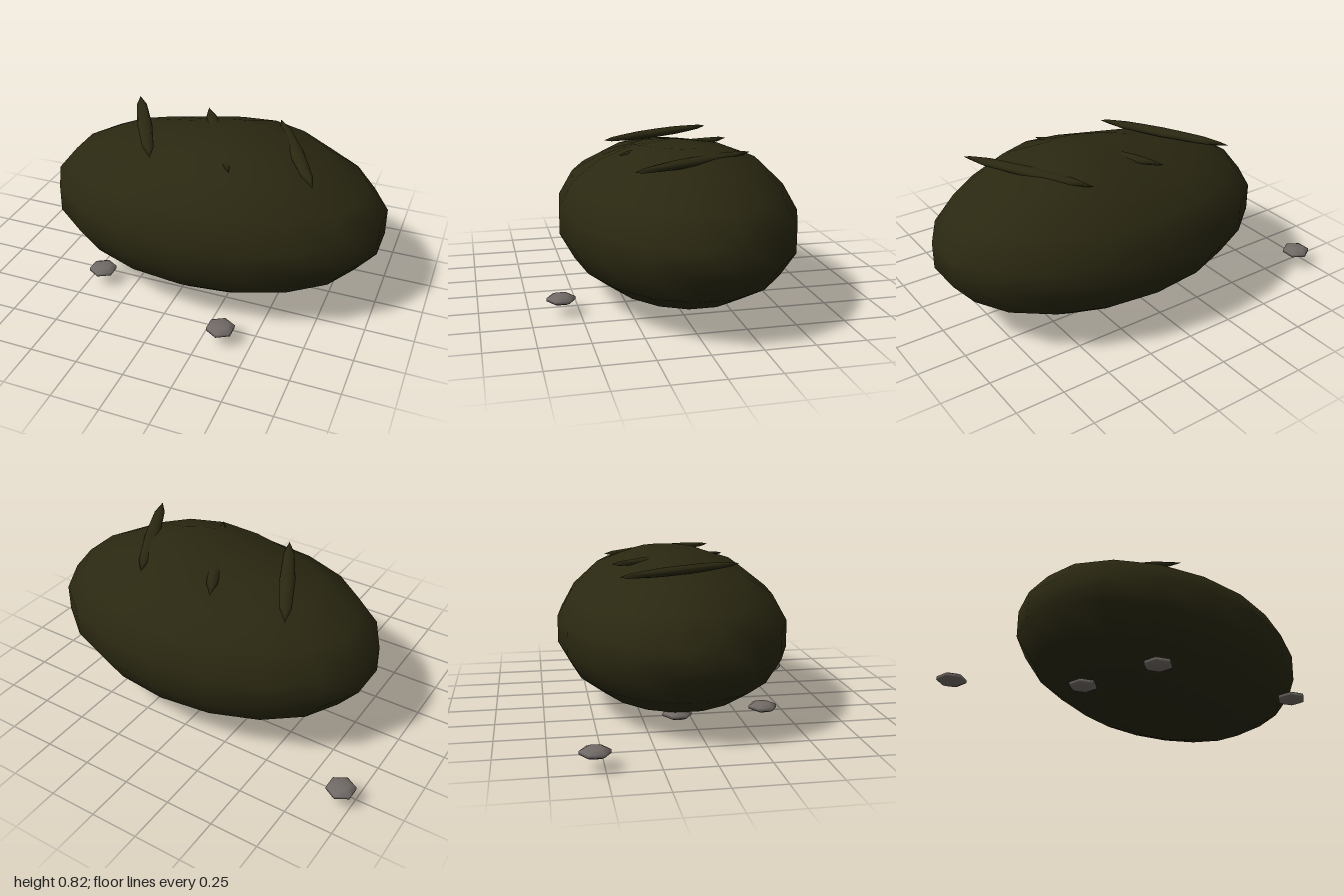
import * as THREE from 'three';
import { mergeVertices } from 'three/addons/utils/BufferGeometryUtils.js';

export function createModel() {
  const group = new THREE.Group();
  const moss = new THREE.MeshStandardMaterial({ name: 'dark moss', color: 0x2a2811 });
  const stone = new THREE.MeshStandardMaterial({ name: 'grey stone', color: 0x716a66 });

  const add = (name, geometry, material, x, y, z, turn = 0) => {
    const mesh = new THREE.Mesh(geometry, material);
    mesh.name = name;
    mesh.position.set(x, y, z);
    mesh.rotation.y = turn;
    group.add(mesh);
  };

  // Mound: a squashed ball whose upper rings swell gently along x
  let mound = new THREE.SphereGeometry(1, 18, 9, Math.PI / 2);
  mound.scale(0.929, 0.41, 0.62);
  const p = mound.attributes.position;
  for (let i = 0; i < p.count; i++) {
    if (p.getY(i) > 0.28) p.setY(i, p.getY(i) + 0.026 * Math.sin(5.3 * p.getX(i)));
  }
  mound.deleteAttribute('uv');
  mound.deleteAttribute('normal');
  mound = mergeVertices(mound, 1e-4);
  mound.computeVertexNormals();
  add('mound', mound, moss, 0.085, 0.41, -0.048);

  // Ridges: three slanted slivers lying across the top
  const ridge = new THREE.SphereGeometry(1, 8, 6).scale(0.04, 0.023, 0.375);
  for (const x of [-0.335, 0.085, 0.505]) add('ridge', ridge, moss, x, 0.779, -0.05, 0.49);

  // Pebbles: flat six-sided stones around the base
  const pebble = new THREE.SphereGeometry(1, 6, 5, Math.PI / 2).scale(0.076, 0.025, 0.076);
  for (const [x, z] of [[-0.937, -0.543], [0.345, 0.594], [-0.425, 0.35], [-0.47, -0.1]]) {
    add('pebble', pebble, stone, x, 0.079, z);
  }
  return group;
}
